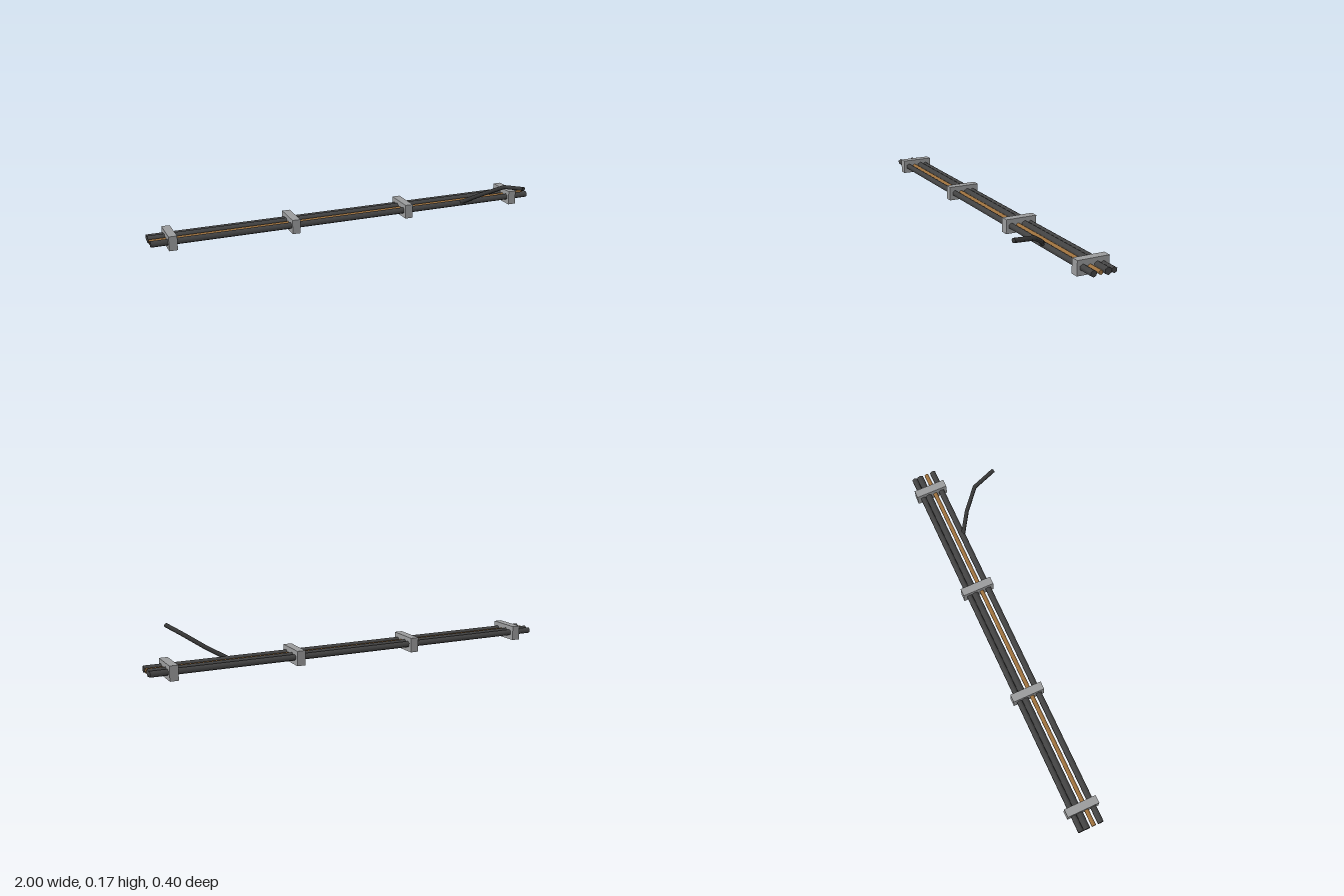
import * as THREE from 'three';

export function createModel() {
  const model = new THREE.Group();
  model.name = 'cableRun';

  const mat = (name, color, side = THREE.FrontSide) => {
    const m = new THREE.MeshStandardMaterial({ color, side });
    m.name = name;
    return m;
  };
  const rubber = mat('darkRubber', 0x444444);
  const looseRubber = mat('looseRubber', 0x363636, THREE.DoubleSide);
  const copper = mat('copper', 0xa0733f);
  const steel = mat('greySteel', 0x9a9b9c);

  const add = (name, geometry, material, x = 0, y = 0, z = 0) => {
    const mesh = new THREE.Mesh(geometry, material);
    mesh.name = name;
    mesh.position.set(x, y, z);
    model.add(mesh);
  };

  // Straight six-sided cables along x: [name, z, radius, material]
  const cables = [
    ['frontCable', -0.071, 0.016, rubber],
    ['copperPipe', -0.106, 0.0115, copper],
    ['thickCable', -0.142, 0.0182, rubber],
    ['backCable', -0.172, 0.0148, rubber],
  ];
  for (const [name, z, radius, material] of cables) {
    const g = new THREE.CylinderGeometry(radius, radius, 2, 6);
    g.rotateY(Math.PI / 2); // puts a corner at the top
    g.rotateZ(Math.PI / 2);
    add(name, g, material, 0, 0.035, z);
  }

  // Clamps holding the cables together
  for (const x of [-0.9, -0.3, 0.3, 0.9]) {
    add('clamp', new THREE.BoxGeometry(0.04, 0.07, 0.16), steel, x, 0.035, -0.122);
  }

  // Loose cable bending up and away from the front cable
  const path = new THREE.CurvePath();
  const points = [
    [0.6, 0.035, -0.071], [0.7, 0.092, 0], [0.776, 0.142, 0.077], [0.814, 0.162, 0.199],
  ].map((p) => new THREE.Vector3(...p));
  const curve = new THREE.CatmullRomCurve3(points);
  add('looseCable', new THREE.TubeGeometry(curve, 3, 0.011, 6), looseRubber);

  // Cap on the loose end
  const cap = new THREE.CircleGeometry(0.011, 6);
  cap.lookAt(curve.getTangent(1));
  add('looseCableEnd', cap, looseRubber, ...points[3].toArray());

  return model;
}
